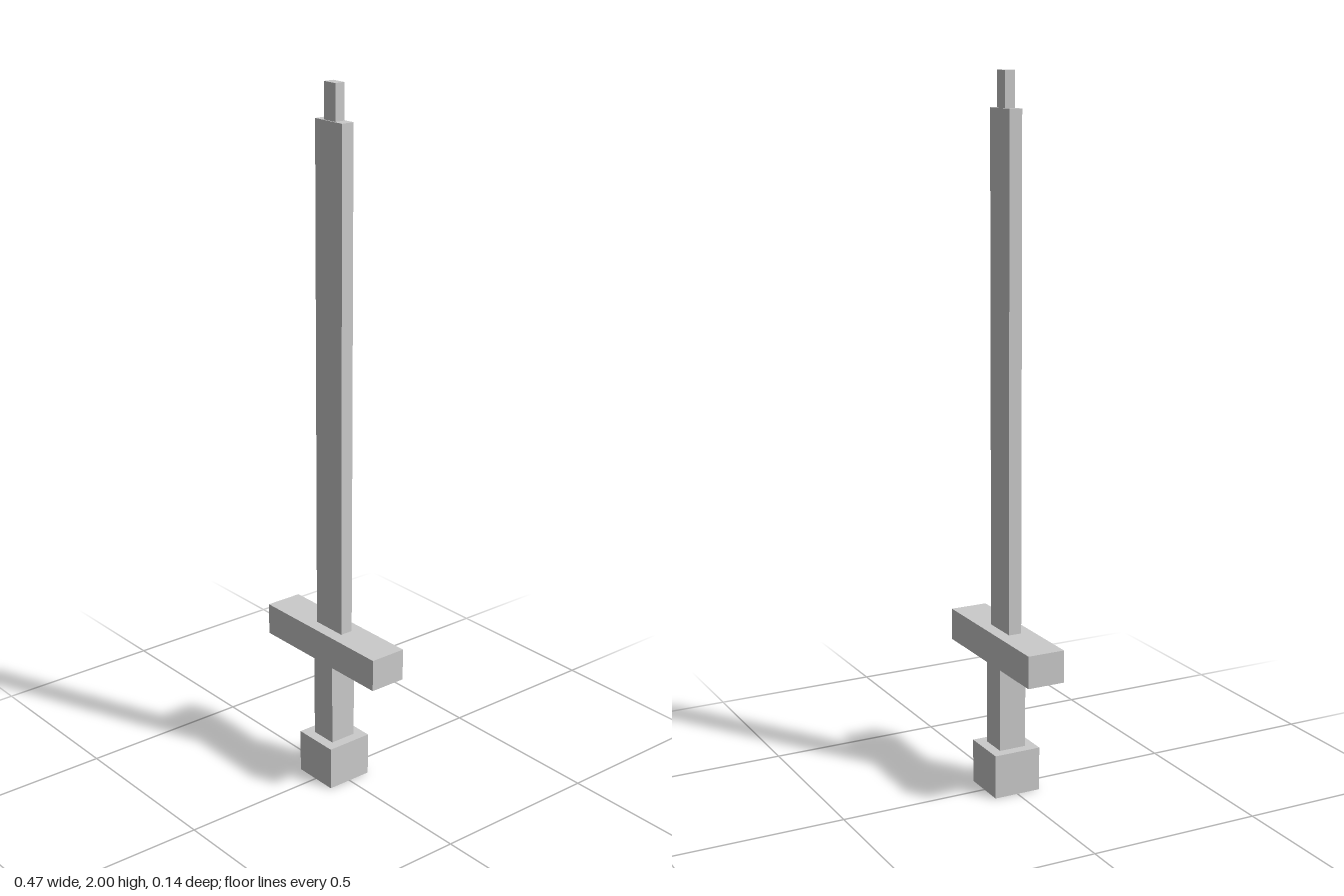
import * as THREE from 'three';

export function createModel() {
  const group = new THREE.Group();
  const material = new THREE.MeshStandardMaterial({ color: 0xcccccc, flatShading: true });

  // Centred block spanning bottom to top
  function addBlock(name, width, depth, bottom, top) {
    const mesh = new THREE.Mesh(new THREE.BoxGeometry(width, top - bottom, depth), material);
    mesh.name = name;
    mesh.position.y = (bottom + top) / 2;
    group.add(mesh);
  }

  // Stacked from the ground up
  addBlock('pommel', 0.139, 0.139, 0, 0.126);
  addBlock('grip', 0.08, 0.08, 0.126, 0.376);
  addBlock('crossguard', 0.466, 0.109, 0.376, 0.468);
  addBlock('blade', 0.109, 0.038, 0.468, 1.902);
  addBlock('bladeTip', 0.045, 0.03, 1.902, 2);

  return group;
}
